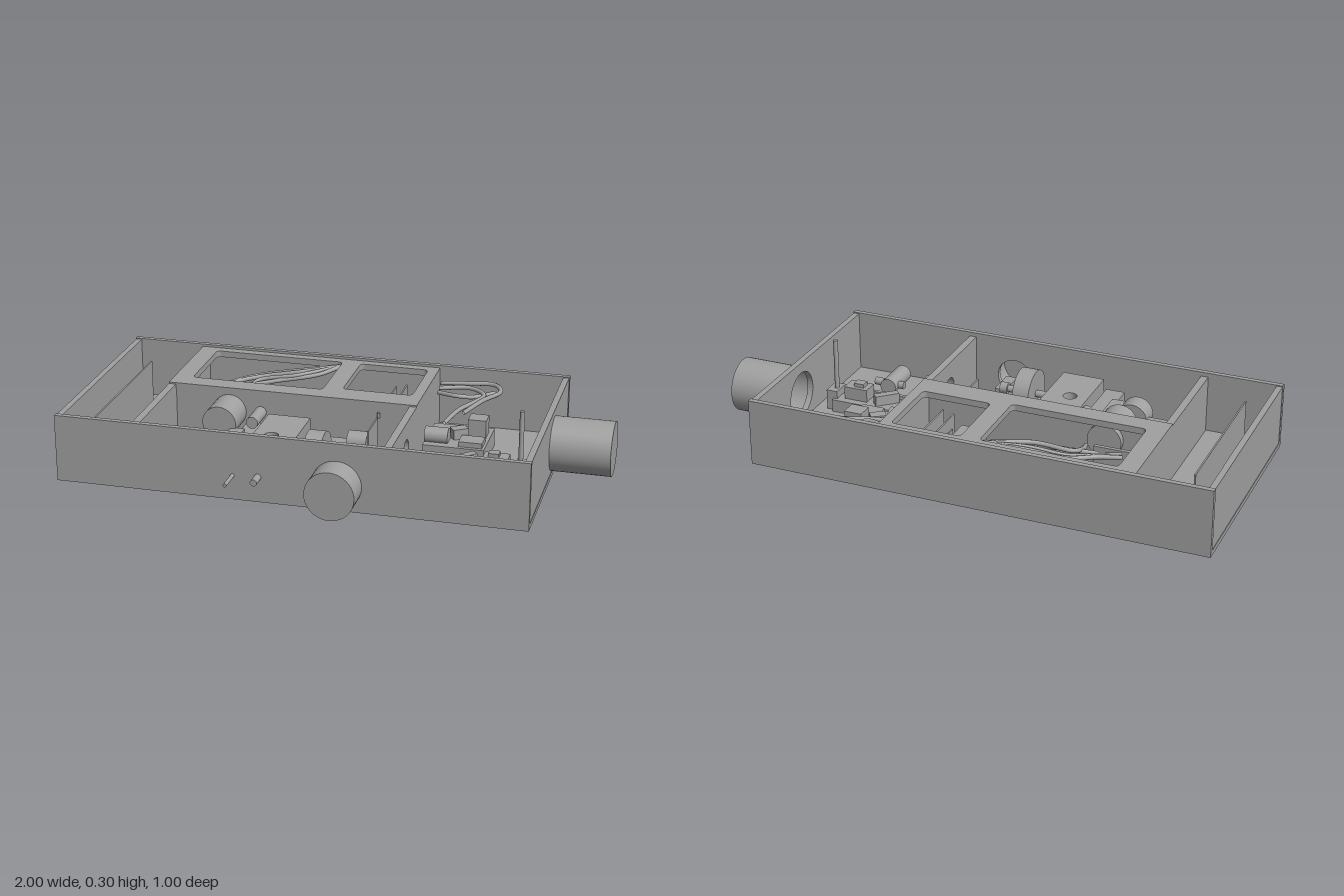
import * as THREE from 'three';

export function createModel() {
  const root = new THREE.Group();
  const grey = new THREE.MeshStandardMaterial({ color: 0xa0a0a0 });
  grey.name = 'plain grey';
  grey.side = THREE.DoubleSide;

  const add = (name, geo) => {
    const m = new THREE.Mesh(geo, grey);
    m.name = name;
    root.add(m);
    return m;
  };
  // Box given by its limits on each axis, with an optional turn about y
  const box = (name, x0, x1, y0, y1, z0, z1, turn = 0) => {
    const m = add(name, new THREE.BoxGeometry(x1 - x0, y1 - y0, z1 - z0));
    m.position.set((x0 + x1) / 2, (y0 + y1) / 2, (z0 + z1) / 2);
    m.rotation.y = turn;
    return m;
  };
  // Cylinder from a to b along one axis
  const rod = (name, axis, a, b, r, p, q, open = false) => {
    const g = new THREE.CylinderGeometry(r, r, b - a, 40, 1, open);
    const c = (a + b) / 2;
    if (axis === 'x') g.rotateZ(Math.PI / 2).translate(c, p, q);
    else if (axis === 'z') g.rotateX(Math.PI / 2).translate(p, q, c);
    else g.translate(p, c, q);
    return add(name, g);
  };
  // Rectangle outline as a shape, optionally with rounded corners
  const rect = (x0, x1, y0, y1, r = 0, Kind = THREE.Shape) => {
    const s = new Kind();
    s.moveTo(x0 + r, y0);
    s.lineTo(x1 - r, y0);
    s.quadraticCurveTo(x1, y0, x1, y0 + r);
    s.lineTo(x1, y1 - r);
    s.quadraticCurveTo(x1, y1, x1 - r, y1);
    s.lineTo(x0 + r, y1);
    s.quadraticCurveTo(x0, y1, x0, y1 - r);
    s.lineTo(x0, y0 + r);
    s.quadraticCurveTo(x0, y0, x0 + r, y0);
    return s;
  };
  const hole = (x, y, r) => new THREE.Path().absarc(x, y, r, 0, Math.PI * 2, true);
  const extrude = (shape, depth, holes) => {
    shape.holes.push(...holes);
    return new THREE.ExtrudeGeometry(shape, { depth, bevelEnabled: false, curveSegments: 20 });
  };
  // Panel across x, drawn in (-z, y)
  const sidePanel = (name, x, t, z0, z1, y1, holes) =>
    add(name, extrude(rect(-z1, -z0, 0.02, y1), t, holes).rotateY(Math.PI / 2).translate(x, 0, 0));
  const tube = (name, pts, r = 0.009) =>
    add(name, new THREE.TubeGeometry(
      new THREE.CatmullRomCurve3(pts.map(p => new THREE.Vector3(...p))), 32, r, 8));

  // Open-topped case
  box('floor', -1, 0.775, 0, 0.02, -0.497, 0.393);
  box('backWall', -1, 0.775, 0.02, 0.26, -0.497, -0.477);
  add('frontWall', extrude(rect(-1, 0.775, 0.02, 0.26), 0.02, [hole(0.075, 0.1, 0.07)]).translate(0, 0, 0.373));
  sidePanel('rightEndWall', -0.998, 0.023, -0.477, 0.373, 0.256, []);
  sidePanel('leftEndWall', 0.75, 0.023, -0.477, 0.373, 0.256, [hole(0.132, 0.125, 0.09)]);

  // Outer ports
  rod('sidePort', 'x', 0.773, 1, 0.104, 0.125, -0.132, true);
  rod('sidePortCap', 'x', 0.99, 1, 0.104, 0.125, -0.132);
  rod('frontPort', 'z', 0.39, 0.5, 0.093, 0.075, 0.1, true);
  rod('frontPortCap', 'z', 0.49, 0.5, 0.093, 0.075, 0.1);
  rod('thinPin', 'z', 0.36, 0.488, 0.007, -0.315, 0.095);
  rod('thickPin', 'z', 0.36, 0.447, 0.013, -0.22, 0.098);

  // Inner partitions and tray frame
  sidePanel('rightPartition', -0.712, 0.028, -0.477, 0.37, 0.245, []);
  sidePanel('leftPartition', 0.237, 0.028, -0.477, 0.37, 0.245, [hole(-0.11, 0.14, 0.04)]);
  box('middlePartition', -0.69, 0.24, 0.02, 0.23, -0.085, -0.065);
  const frame = extrude(rect(-0.712, 0.265, 0.06, 0.475), 0.025, [
    rect(-0.64, -0.12, 0.135, 0.44, 0.02, THREE.Path),
    rect(-0.047, 0.225, 0.16, 0.44, 0.02, THREE.Path)]);
  add('trayFrame', frame.rotateX(-Math.PI / 2).translate(0, 0.226, 0));
  box('uprightSheet', -0.888, -0.882, 0.02, 0.22, -0.34, 0.28);

  // Parts below the tray frame
  box('trayStrip', -0.62, -0.45, 0.02, 0.16, -0.165, -0.15);
  box('trayBlock', -0.03, 0.07, 0.02, 0.14, -0.42, -0.16);
  box('cardUpright', 0.1, 0.106, 0.02, 0.18, -0.42, -0.16);
  box('cardUpright', 0.142, 0.148, 0.02, 0.19, -0.42, -0.16);
  for (let i = 0; i < 4; i++)
    box('cardChip', 0.095, 0.135, 0.08, 0.13, -0.4 + i * 0.06, -0.365 + i * 0.06);

  // Cable bundles
  for (const [x, z, b] of [[-0.58, -0.23, 0], [-0.57, -0.21, 0.02], [-0.43, -0.19, 0.06]])
    tube('trayCable', [[-0.13, 0.235, -0.43], [-0.28, 0.22, -0.39 + b], [-0.42, 0.2, -0.36 + b],
      [(x - 0.45) / 2, 0.19, -0.29 + b / 2], [x, 0.17, z]]);
  tube('trayCable', [[-0.13, 0.235, -0.425], [-0.2, 0.22, -0.36], [-0.36, 0.2, -0.3], [-0.5, 0.18, -0.25]]);
  tube('cornerCable', [[0.28, 0.21, -0.42], [0.38, 0.21, -0.44], [0.49, 0.21, -0.45],
    [0.52, 0.2, -0.41], [0.46, 0.18, -0.35], [0.4, 0.15, -0.28]]);
  tube('cornerCable', [[0.28, 0.2, -0.39], [0.4, 0.2, -0.42], [0.46, 0.19, -0.38], [0.38, 0.16, -0.28], [0.34, 0.13, -0.21]]);
  tube('cornerCable', [[0.28, 0.19, -0.37], [0.36, 0.19, -0.35], [0.42, 0.18, -0.38], [0.5, 0.19, -0.42]]);

  // Drive unit at the right of the middle bay
  rod('motor', 'z', -0.11, 0.07, 0.066, -0.47, 0.155);
  box('driveBlock', -0.62, -0.38, 0.02, 0.11, 0.1, 0.225);
  rod('driveDrum', 'z', 0.2, 0.275, 0.06, -0.47, 0.1);
  box('driveBracket', -0.425, -0.372, 0.02, 0.14, 0.06, 0.26);
  rod('driveRoller', 'z', -0.045, 0.07, 0.023, -0.34, 0.17);
  box('sideBlock', -0.39, -0.315, 0.02, 0.13, -0.03, 0.35);

  // Main block with its round socket
  add('mainBlock', extrude(rect(-0.305, -0.14, -0.35, 0.035), 0.15, [hole(-0.235, -0.165, 0.027)])
    .rotateX(-Math.PI / 2).translate(0, 0.02, 0));

  // Pump and wheel
  box('pumpBase', -0.13, 0.1, 0.02, 0.1, -0.04, 0.085);
  rod('pumpBarrel', 'x', 0.025, 0.1, 0.04, 0.12, 0.024);
  box('pumpCard', 0.117, 0.123, 0.02, 0.2, -0.03, 0.11);
  rod('pumpCardTip', 'y', 0.19, 0.21, 0.006, 0.12, -0.055);
  rod('wheel', 'x', -0.08, -0.015, 0.092, 0.13, 0.212);
  rod('wheelAxle', 'x', -0.13, 0.06, 0.014, 0.13, 0.212);
  box('wheelBlock', -0.13, -0.08, 0.02, 0.1, 0.14, 0.29);
  box('wheelStop', 0.055, 0.1, 0.02, 0.11, 0.23, 0.35);
  rod('wheelKnob', 'x', 0.035, 0.065, 0.022, 0.13, 0.212);

  // Square board in the left bay
  box('squareBoard', 0.285, 0.52, 0.02, 0.09, -0.3, -0.075);
  rod('boardRoller', 'x', 0.285, 0.375, 0.032, 0.11, -0.133);
  box('boardBlock', 0.435, 0.505, 0.09, 0.16, -0.26, -0.195);
  box('boardLever', 0.375, 0.435, 0.09, 0.13, -0.2, -0.16, 0.6);
  box('boardFoot', 0.42, 0.51, 0.09, 0.11, -0.16, -0.09);

  // Long board with the upright aerial
  box('longBoard', 0.405, 0.675, 0.02, 0.07, -0.03, 0.09);
  box('longBoardEdge', 0.41, 0.67, 0.07, 0.085, 0.07, 0.085);
  box('slantedBlock', 0.42, 0.515, 0.07, 0.11, 0.01, 0.04, 0.75);
  box('relay', 0.54, 0.635, 0.07, 0.12, 0, 0.065);
  box('relayCap', 0.56, 0.6, 0.12, 0.135, 0.015, 0.05);
  box('aerialMount', 0.66, 0.705, 0.02, 0.1, -0.015, 0.06);
  rod('aerial', 'y', 0.1, 0.302, 0.009, 0.677, 0.021);

  // Valve and cross-handled cylinder
  box('valveHead', 0.315, 0.37, 0.02, 0.12, 0.13, 0.2);
  rod('valveKnob', 'y', 0.12, 0.14, 0.025, 0.34, 0.165);
  rod('valveBody', 'z', 0.195, 0.28, 0.035, 0.337, 0.08);
  box('valveFoot', 0.295, 0.385, 0.02, 0.1, 0.275, 0.335);
  rod('cylinderBody', 'z', 0.135, 0.275, 0.033, 0.513, 0.08);
  rod('crossHandle', 'x', 0.46, 0.582, 0.015, 0.08, 0.172);

  return root;
}
